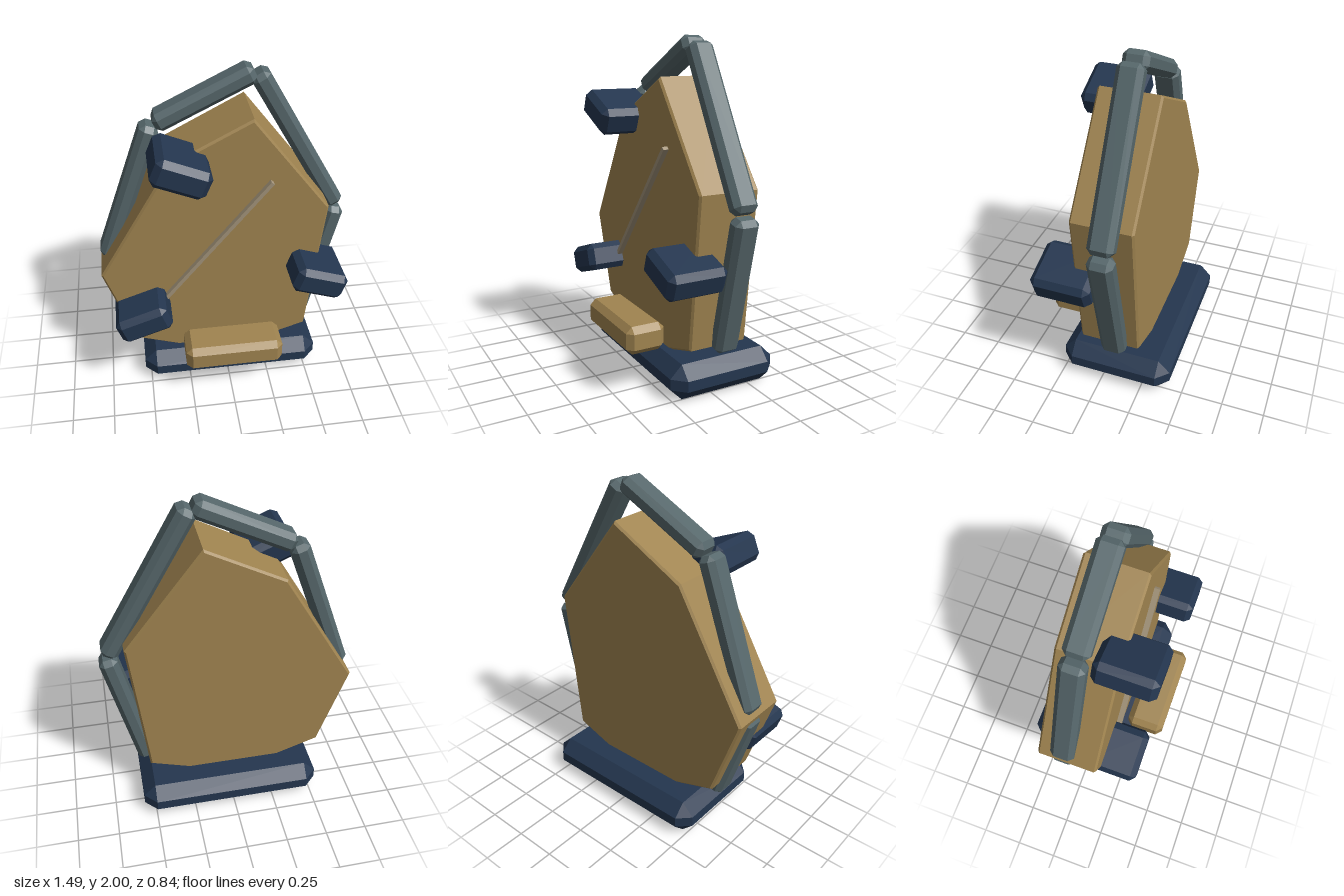
import * as THREE from 'three';
import { ConvexGeometry } from 'three/addons/geometries/ConvexGeometry.js';

const material = (color) => new THREE.MeshStandardMaterial({ color, flatShading: true });
const navy = material(0x24364f);
const steel = material(0x56676b);
const tan = material(0xa08450);
const pale = material(0xa3947a);

// Box with every edge cut at 45 degrees by c
function chamferBox(w, h, d, c) {
  const half = [w / 2, h / 2, d / 2];
  const points = [];
  for (let axis = 0; axis < 3; axis++) {
    for (const sx of [-1, 1]) for (const sy of [-1, 1]) for (const sz of [-1, 1]) {
      const s = [sx, sy, sz];
      points.push(new THREE.Vector3(...half.map((v, i) => s[i] * (i === axis ? v : v - c))));
    }
  }
  return new ConvexGeometry(points);
}

export function createModel() {
  const model = new THREE.Group();
  model.name = 'shieldPanelOnBase';

  function add(name, geometry, mat, x, y, z, degrees = 0) {
    const mesh = new THREE.Mesh(geometry, mat);
    mesh.name = name;
    mesh.position.set(x, y, z);
    mesh.rotation.z = THREE.MathUtils.degToRad(degrees);
    model.add(mesh);
  }

  // Base slab
  add('base', chamferBox(1.105, 0.21, 0.68, 0.073), navy, 0.017, 0.105, -0.08);

  // Irregular thick panel, its lowest corner sunk into the base
  const outline = [
    [-0.03, 0.1], [0.505, 0.28], [0.6, 1.18], [0.145, 1.77],
    [-0.32, 1.53], [-0.75, 0.81], [-0.575, 0.29],
  ].map(([x, y]) => new THREE.Vector2(x, y));
  const bevel = 0.012;
  const panel = new THREE.ExtrudeGeometry(new THREE.Shape(outline), {
    depth: 0.37 - 2 * bevel, bevelThickness: bevel, bevelSize: bevel,
    bevelOffset: -bevel, bevelSegments: 1,
  });
  add('panel', panel, tan, 0, 0, -0.228 + bevel);

  // Frame bars around the panel: name, x, y, length, tilt from upright
  const bars = [
    ['topBar', -0.103, 1.823, 0.62, -64],
    ['leftUpperBar', 0.444, 1.516, 1.0, 29.7],
    ['leftLowerBar', 0.603, 0.655, 0.83, -13],
    ['rightUpperBar', -0.555, 1.255, 0.906, -19.8],
    ['rightLowerBar', -0.61, 0.498, 0.64, 17.5],
  ];
  for (const [name, x, y, length, tilt] of bars) {
    add(name, chamferBox(0.11, length, 0.15, 0.03), steel, x, y, -0.077, tilt);
  }

  // Clamps gripping the front edge
  const clamps = [
    ['upperClamp', -0.27, 1.55, -23],
    ['rightClamp', -0.52, 0.572, 19],
    ['leftClamp', 0.53, 0.767, -19],
  ];
  for (const [name, x, y, tilt] of clamps) {
    add(name, chamferBox(0.32, 0.17, 0.36, 0.034), navy, x, y, 0.187, tilt);
  }

  // Block in front of the panel foot
  add('frontBlock', chamferBox(0.593, 0.168, 0.24, 0.036), tan, 0.013, 0.307, 0.302);

  // Thin diagonal strip on the panel face
  add('diagonalStrip', new THREE.BoxGeometry(0.99, 0.023, 0.05), pale, -0.062, 1.005, 0.15, 50.5);

  return model;
}
